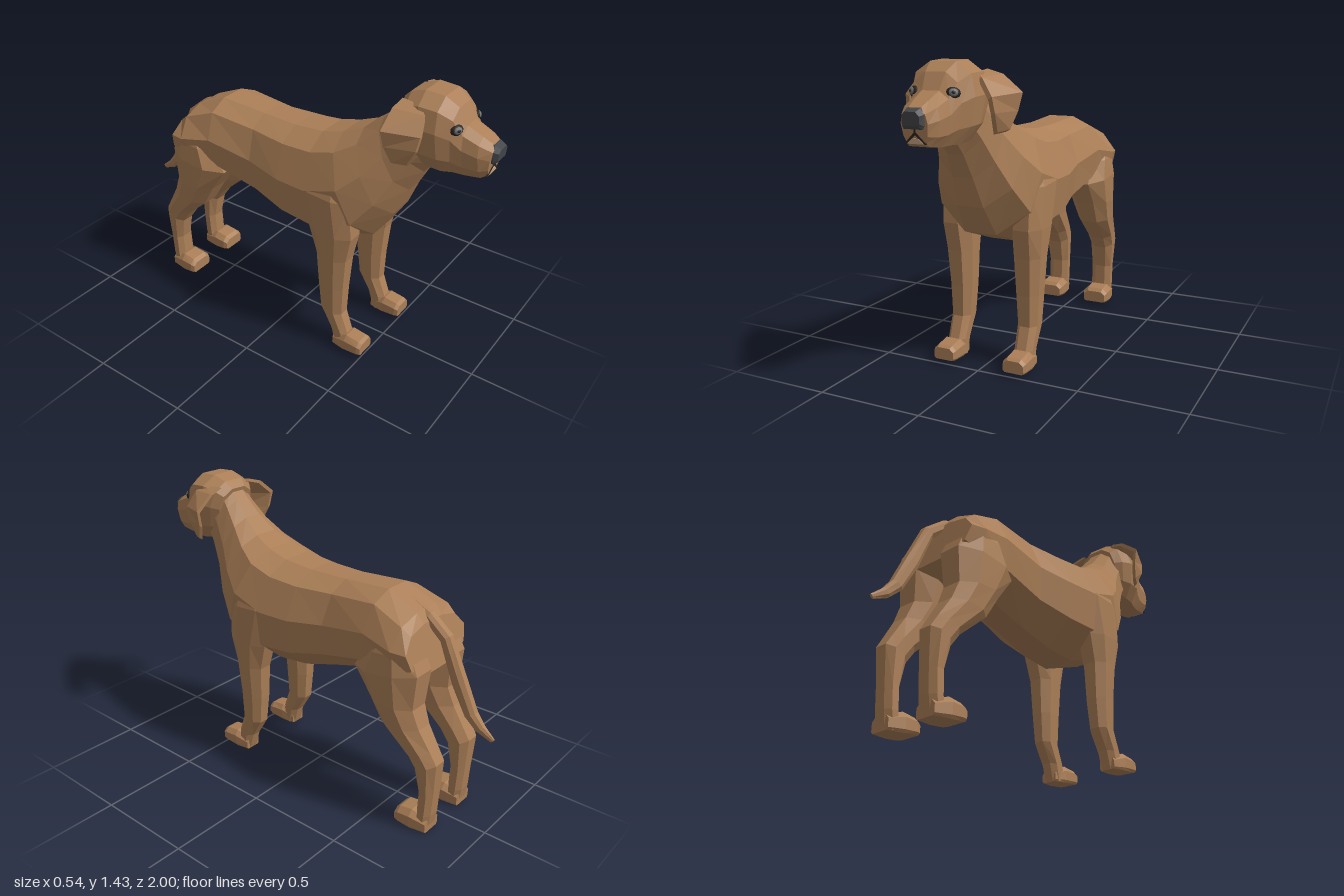
import * as THREE from 'three';

const mat = (name, color) => {
  const m = new THREE.MeshStandardMaterial({ color });
  m.name = name;
  return m;
};
const V = (x, y, z) => new THREE.Vector3(x, y, z);

// Outlines of half a cross-section: [share of half-width, share of the way from first to second edge]
const mirrorOutline = half => [...half, ...half.map(([t, s]) => [-t, s]).reverse()];
const BODY = mirrorOutline([[0.3, 0], [0.74, 0.11], [1, 0.42], [0.9, 0.77], [0.32, 1]]);
const HEAD = mirrorOutline([[0.4, 0], [0.86, 0.14], [1, 0.42], [0.88, 0.78], [0.58, 1]]);
const LIMB = mirrorOutline([[0.5, 0], [1, 0.28], [1, 0.72], [0.5, 1]]);
const PAW = mirrorOutline([[0.62, 0], [1, 0.3], [1, 0.85], [0.85, 1]]);

// Ring from edge (z0, y0) to edge (z1, y1), spanning xa..xb
function ring(outline, [z0, y0, z1, y1, xa, xb]) {
  const mid = (xa + xb) / 2, half = (xb - xa) / 2;
  return outline.map(([t, s]) => V(mid + t * half, y0 + (y1 - y0) * s, z0 + (z1 - z0) * s));
}

// Faceted closed skin through a list of rings, always facing outwards
function loft(rings) {
  const tris = [], n = rings[0].length;
  const centre = r => r.reduce((c, p) => c.add(p), V(0, 0, 0)).divideScalar(n);
  const first = rings[0], last = rings[rings.length - 1];
  const c0 = centre(first), c1 = centre(last);
  for (let i = 0; i < n; i++) {
    const j = (i + 1) % n;
    tris.push([c0, first[j], first[i]], [c1, last[i], last[j]]);
    for (let k = 0; k < rings.length - 1; k++) {
      const a = rings[k], b = rings[k + 1];
      tris.push([a[i], a[j], b[j]], [a[i], b[j], b[i]]);
    }
  }
  const volume = tris.reduce((v, [a, b, c]) => v + a.dot(b.clone().cross(c)), 0);
  const points = tris.flatMap(([a, b, c]) => (volume < 0 ? [a, c, b] : [a, b, c]));
  const g = new THREE.BufferGeometry().setFromPoints(points);
  g.computeVertexNormals();
  return g;
}

export function createModel() {
  const dog = new THREE.Group();
  dog.name = 'dog';
  const coat = mat('brown coat', 0xab7f57);
  const noseGrey = mat('nose grey', 0x45464a);
  const dark = mat('dark rim', 0x2b231d);
  const iris = mat('eye grey', 0x6f7478);
  const lip = mat('pale lip', 0xc9a68a);

  const add = (name, geometry, material = coat) => {
    const m = new THREE.Mesh(geometry, material);
    m.name = name;
    dog.add(m);
  };
  // Sections centred on x = 0: [zTop, yTop, zBottom, yBottom, halfWidth]
  const centred = (outline, list) => loft(list.map(([a, b, c, d, w]) => ring(outline, [a, b, c, d, -w, w])));
  // Sections to one side: [z0, y0, z1, y1, xInner, xOuter]
  const sided = (outline, side, list) =>
    loft(list.map(([a, b, c, d, xi, xo]) => ring(outline, [a, b, c, d, xi * side, xo * side])));

  // Torso and neck
  add('torso', centred(BODY, [
    [0.58, 1.38, 0.72, 1.1, 0.11],
    [0.53, 1.32, 0.67, 1.04, 0.125],
    [0.46, 1.245, 0.61, 0.93, 0.155],
    [0.37, 1.175, 0.55, 0.79, 0.208],
    [0.27, 1.13, 0.46, 0.65, 0.255],
    [0.16, 1.1, 0.2, 0.56, 0.26],
    [0.0, 1.085, 0.03, 0.575, 0.247],
    [-0.2, 1.085, -0.15, 0.625, 0.212],
    [-0.45, 1.1, -0.4, 0.695, 0.226],
    [-0.61, 1.03, -0.57, 0.72, 0.25],
    [-0.645, 0.985, -0.7, 0.77, 0.235],
  ]));

  // Head and muzzle
  add('head', centred(HEAD, [
    [0.555, 1.375, 0.62, 1.14, 0.11],
    [0.59, 1.41, 0.66, 1.115, 0.14],
    [0.66, 1.435, 0.71, 1.105, 0.158],
    [0.75, 1.43, 0.77, 1.1, 0.152],
    [0.81, 1.39, 0.815, 1.1, 0.118],
    [0.85, 1.318, 0.87, 1.098, 0.098],
    [0.92, 1.285, 0.935, 1.105, 0.088],
    [0.978, 1.255, 0.962, 1.12, 0.062],
  ]));
  add('nose', centred(PAW, [
    [0.945, 1.264, 0.95, 1.182, 0.042],
    [0.972, 1.26, 0.98, 1.178, 0.05],
    [1.0, 1.247, 0.995, 1.192, 0.04],
  ]), noseGrey);

  // Mouth line and lower lip, as thin plates on the muzzle front
  const plate = (name, pts, material) => {
    const g = new THREE.ExtrudeGeometry(new THREE.Shape(pts.map(p => new THREE.Vector2(...p))),
      { depth: 0.008, bevelEnabled: false });
    add(name, g.rotateX(0.11).translate(0, 1.12, 0.957), material);
  };
  plate('mouthLine', [[-0.05, 0], [-0.042, 0], [0, 0.036], [0.042, 0], [0.05, 0], [0.004, 0.046],
    [0.004, 0.064], [-0.004, 0.064], [-0.004, 0.046]], dark);
  plate('lowerLip', [[-0.04, 0], [0.04, 0], [0.016, 0.021], [-0.016, 0.021]], lip);

  // Tail
  add('tail', centred(LIMB, [
    [-0.53, 1.065, -0.56, 1.02, 0.012],
    [-0.64, 1.02, -0.63, 0.96, 0.03],
    [-0.745, 0.935, -0.7, 0.9, 0.03],
    [-0.83, 0.755, -0.775, 0.71, 0.03],
    [-0.9, 0.605, -0.85, 0.575, 0.028],
    [-0.94, 0.555, -0.91, 0.52, 0.02],
    [-1.0, 0.505, -0.985, 0.488, 0.006],
  ]));

  for (const side of [1, -1]) {
    const label = side > 0 ? 'left' : 'right';

    // Ear: front and back edge points from base to tip, with a little thickness
    const earEdges = [
      [[0.11, 1.385, 0.675], [0.11, 1.395, 0.58]],
      [[0.152, 1.365, 0.705], [0.18, 1.374, 0.572]],
      [[0.205, 1.29, 0.722], [0.27, 1.302, 0.572]],
      [[0.212, 1.225, 0.71], [0.252, 1.225, 0.58]],
      [[0.2, 1.142, 0.665], [0.23, 1.15, 0.61]],
    ];
    add(label + 'Ear', loft(earEdges.map(([f, b]) => {
      const edge = (p, dx, dy) => V((p[0] + dx) * side, p[1] + dy, p[2]);
      return [edge(f, 0, 0), edge(b, 0, 0), edge(b, -0.018, -0.01), edge(f, -0.018, -0.01)];
    })));

    // Eye: dark rim, grey iris, dark pupil
    const eye = new THREE.Group();
    eye.name = label + 'Eye';
    [['rim', 0.03, 0, dark], ['iris', 0.021, 0.009, iris], ['pupil', 0.01, 0.017, dark]].forEach(([n, r, z, m]) => {
      const ball = new THREE.Mesh(new THREE.SphereGeometry(r, 10, 6), m);
      ball.name = n;
      ball.scale.set(1, 0.8, 0.6);
      ball.position.z = z;
      eye.add(ball);
    });
    eye.position.set(0.09 * side, 1.31, 0.826);
    eye.rotation.set(-0.25, 0.6 * side, 0);
    dog.add(eye);

    // Front leg, widening into the shoulder
    add(label + 'FrontLeg', sided(LIMB, side, [
      [0.36, 0.97, 0.24, 0.97, 0.12, 0.228],
      [0.41, 0.86, 0.12, 0.88, 0.11, 0.262],
      [0.42, 0.67, 0.185, 0.67, 0.105, 0.259],
      [0.39, 0.53, 0.225, 0.53, 0.11, 0.247],
      [0.375, 0.35, 0.235, 0.35, 0.118, 0.235],
      [0.37, 0.2, 0.25, 0.2, 0.128, 0.228],
      [0.41, 0.09, 0.31, 0.1, 0.132, 0.225],
      [0.42, 0.02, 0.335, 0.01, 0.135, 0.225],
    ]));
    add(label + 'FrontPaw', sided(PAW, side, [
      [0.335, 0.07, 0.335, 0.01, 0.14, 0.225],
      [0.415, 0.1, 0.4, 0.012, 0.126, 0.24],
      [0.485, 0.09, 0.485, 0.018, 0.126, 0.24],
      [0.503, 0.08, 0.503, 0.022, 0.132, 0.234],
    ]));

    // Hind leg
    add(label + 'HindLeg', sided(LIMB, side, [
      [-0.52, 0.96, -0.62, 0.94, 0.06, 0.21],
      [-0.43, 0.86, -0.665, 0.88, 0.035, 0.238],
      [-0.365, 0.75, -0.705, 0.79, 0.025, 0.25],
      [-0.45, 0.63, -0.69, 0.62, 0.045, 0.243],
      [-0.52, 0.51, -0.725, 0.53, 0.06, 0.23],
      [-0.66, 0.385, -0.785, 0.43, 0.07, 0.212],
      [-0.705, 0.32, -0.818, 0.375, 0.075, 0.205],
      [-0.73, 0.2, -0.807, 0.2, 0.08, 0.192],
      [-0.725, 0.09, -0.8, 0.09, 0.08, 0.192],
      [-0.71, 0.01, -0.785, 0.0, 0.085, 0.19],
    ]));
    add(label + 'HindPaw', sided(PAW, side, [
      [-0.79, 0.07, -0.79, 0.0, 0.085, 0.192],
      [-0.71, 0.098, -0.71, 0.002, 0.07, 0.21],
      [-0.645, 0.088, -0.645, 0.008, 0.07, 0.21],
      [-0.625, 0.072, -0.625, 0.012, 0.078, 0.203],
    ]));
  }
  return dog;
}
